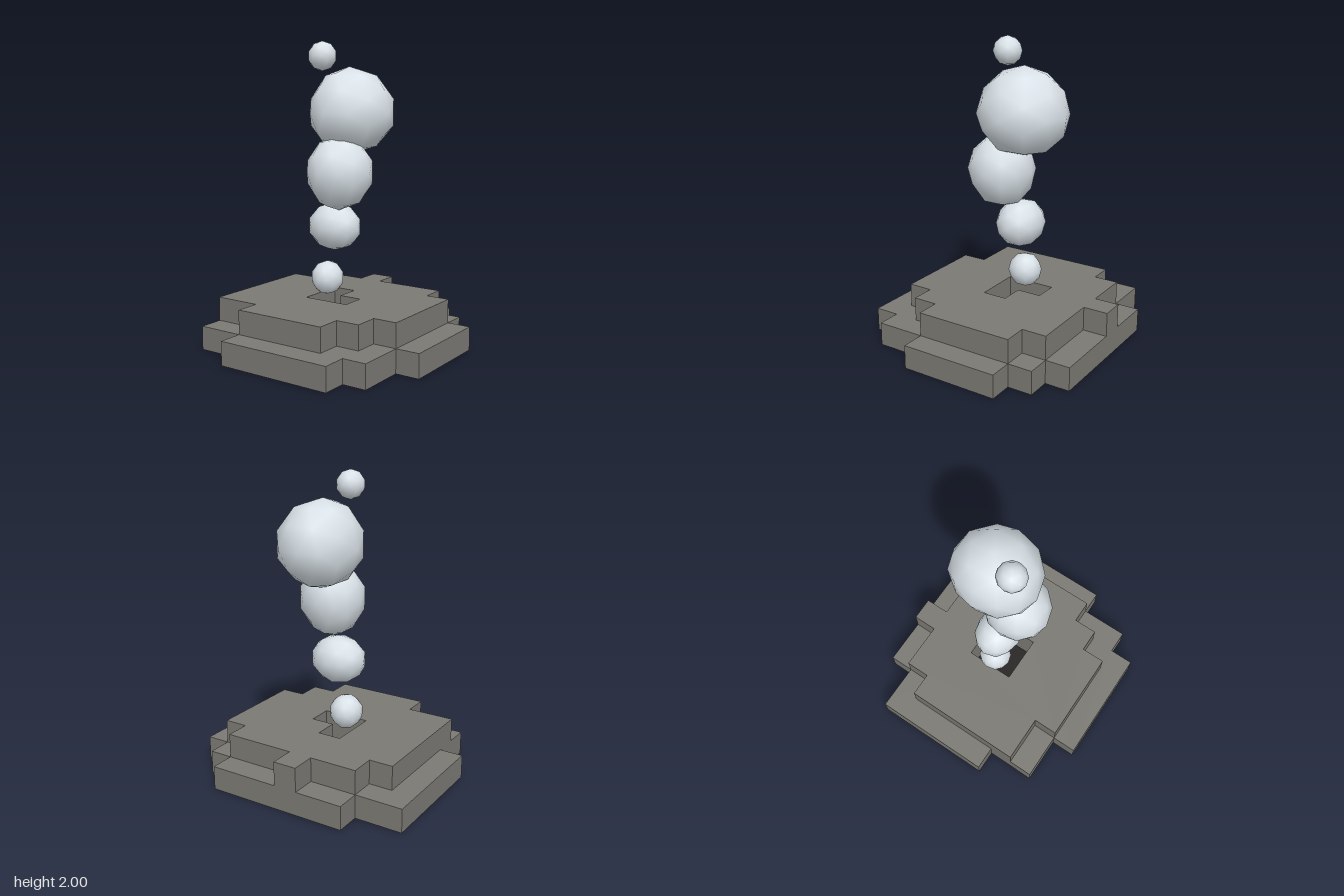
import * as THREE from 'three';
import { mergeVertices } from 'three/addons/utils/BufferGeometryUtils.js';

// Grid of the stepped rock: cell corner (i, j) to x, z
const corner = ([i, j]) => new THREE.Vector2(-0.748 + 0.166 * i, -0.796 + 0.1592 * j);

const LOWER = [[3, 0], [3, 1], [1, 1], [1, 3], [0, 3], [0, 8], [1, 8], [1, 9], [3, 9], [3, 10],
  [7, 10], [7, 9], [8, 9], [8, 8], [9, 8], [9, 2], [8, 2], [8, 0]];
const UPPER = [[2, 1], [2, 3], [1, 3], [1, 7], [2, 7], [2, 8], [3, 8], [3, 9], [7, 9], [7, 8],
  [8, 8], [8, 5], [9, 5], [9, 4], [8, 4], [8, 2], [7, 2], [7, 1]];
const PIT = [[4, 4], [6, 4], [6, 5], [5, 5], [5, 6], [4, 6]];

// One rock layer: blocky outline with the vent pit cut through it
function rockLayer(name, outline, bottom, top, material) {
  const shape = new THREE.Shape(outline.map(corner));
  shape.holes.push(new THREE.Path(PIT.map(corner)));
  const geometry = new THREE.ExtrudeGeometry(shape, { depth: top - bottom, bevelEnabled: false });
  geometry.rotateX(Math.PI / 2).translate(0, top, 0);
  const mesh = new THREE.Mesh(geometry, material);
  mesh.name = name;
  return mesh;
}

// Smooth low-poly puff with its own reach along each half axis
function puff(name, center, plus, minus, material) {
  let geometry = new THREE.IcosahedronGeometry(1, 1);
  geometry.deleteAttribute('uv');
  geometry.deleteAttribute('normal');
  geometry = mergeVertices(geometry);
  const p = geometry.attributes.position;
  for (let i = 0; i < p.count; i++) {
    for (let a = 0; a < 3; a++) {
      const v = p.getComponent(i, a);
      p.setComponent(i, a, v * (v > 0 ? plus[a] : minus[a]));
    }
  }
  geometry.computeVertexNormals();
  const mesh = new THREE.Mesh(geometry, material);
  mesh.name = name;
  mesh.position.set(...center);
  return mesh;
}

export function createModel() {
  const group = new THREE.Group();
  group.name = 'smokingVent';
  const rock = new THREE.MeshStandardMaterial({ color: 0x7b7973 });
  const smoke = new THREE.MeshStandardMaterial({ color: 0xd9e2e8 });
  const dark = new THREE.MeshStandardMaterial({ color: 0x242121, side: THREE.DoubleSide });

  // Stepped rock base
  group.add(rockLayer('lowerRock', LOWER, 0.003, 0.16, rock));
  group.add(rockLayer('upperRock', UPPER, 0.16, 0.32, rock));

  // Dark sheet closing the pit from below
  const floor = new THREE.Mesh(new THREE.PlaneGeometry(0.6, 0.6).rotateX(Math.PI / 2), dark);
  floor.name = 'ventFloor';
  group.add(floor);

  // Rising column of puffs: centre, reach to +xyz, reach to -xyz
  const puffs = [
    [[0.075, 0.435, -0.1], [0.11, 0.115, 0.11], [0.115, 0.115, 0.11]],
    [[0.075, 0.79, -0.04], [0.155, 0.16, 0.185], [0.155, 0.16, 0.19]],
    [[0, 1.17, 0.045], [0.205, 0.23, 0.235], [0.235, 0.255, 0.205]],
    [[0.14, 1.54, 0.03], [0.3, 0.3, 0.305], [0.3, 0.27, 0.25]],
    [[-0.04, 1.905, -0.058], [0.095, 0.095, 0.093], [0.095, 0.095, 0.09]],
  ];
  puffs.forEach(([c, plus, minus], i) => group.add(puff(`smokePuff${i + 1}`, c, plus, minus, smoke)));

  return group;
}
